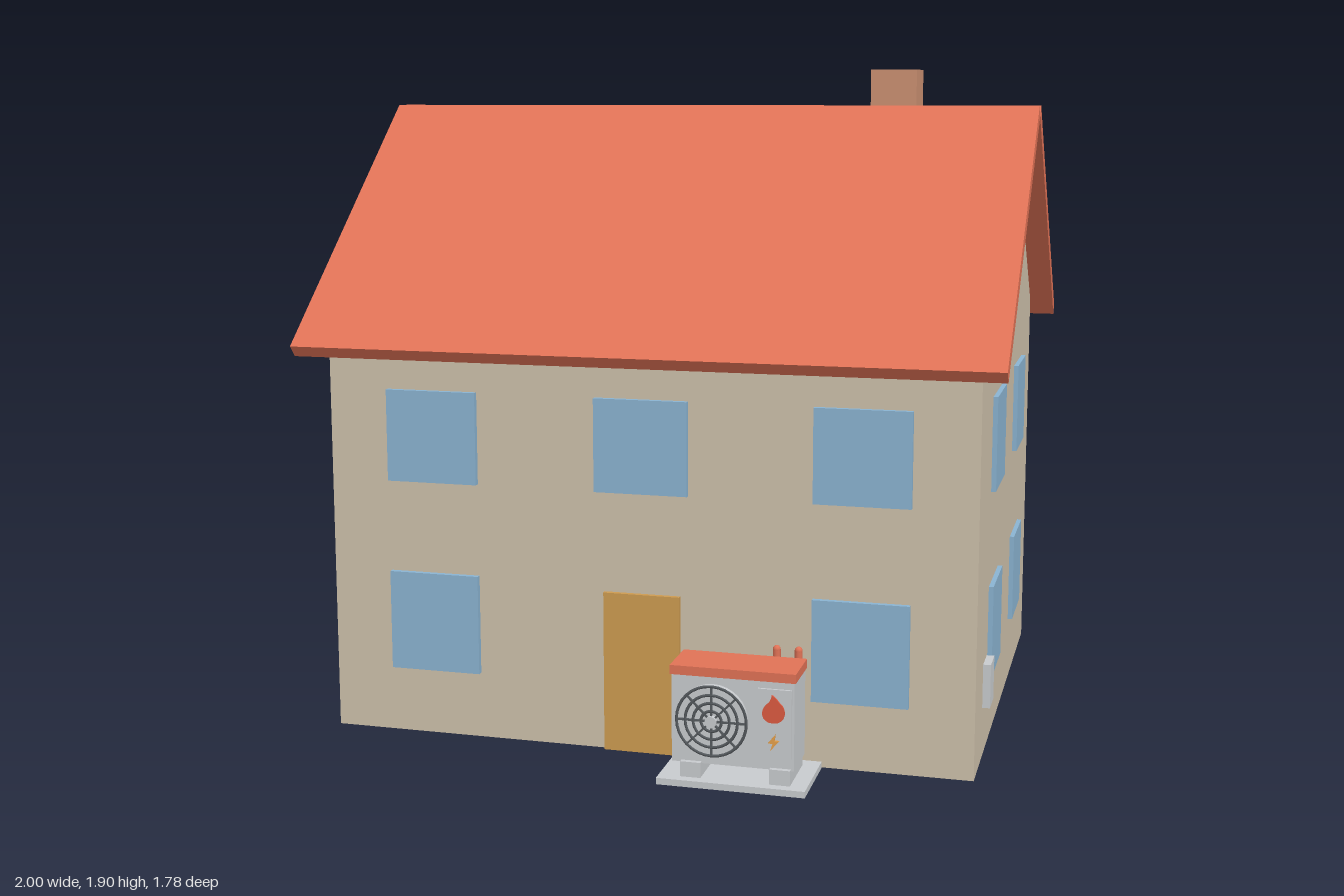
import * as THREE from 'three';

export function createModel() {
  const house = new THREE.Group();
  house.name = 'house';

  const mat = (name, color, side = THREE.FrontSide) => {
    const m = new THREE.MeshStandardMaterial({ color, side });
    m.name = name;
    return m;
  };
  const wall = mat('wall beige', 0xcdc0aa);
  const tile = mat('roof terracotta', 0xe07256);
  const brick = mat('chimney brick', 0xcb9072);
  const glass = mat('window blue', 0x8ab3d1);
  const wood = mat('door ochre', 0xcd9b50);
  const metal = mat('unit grey', 0xc8cbce);
  const dark = mat('grille grey', 0x555a5e);
  const flameRed = mat('flame red', 0xdb5a40);
  const boltOrange = mat('bolt orange', 0xe6a04a);

  const add = (name, geometry, material, parent = house) => {
    const m = new THREE.Mesh(geometry, material);
    m.name = name;
    parent.add(m);
    return m;
  };
  // Box given by its extents on each axis
  const box = (name, [x0, x1], [y0, y1], [z0, z1], material, parent) => {
    const m = add(name, new THREE.BoxGeometry(x1 - x0, y1 - y0, z1 - z0), material, parent);
    m.position.set((x0 + x1) / 2, (y0 + y1) / 2, (z0 + z1) / 2);
    return m;
  };
  // Side profile in (z, y), extruded along x and centred on it
  const prism = (name, points, width, material) => {
    const shape = new THREE.Shape(points.map(([z, y]) => new THREE.Vector2(-z, y)));
    const g = new THREE.ExtrudeGeometry(shape, { depth: width, bevelEnabled: false });
    g.translate(0, 0, -width / 2).rotateY(Math.PI / 2);
    return add(name, g, material);
  };

  // Gabled walls
  const ridge = -0.067;
  const half = 0.722;
  prism('walls', [
    [ridge + half, 0], [ridge + half, 1.153], [ridge, 1.765], [ridge - half, 1.153], [ridge - half, 0],
  ], 1.855, wall);

  // Two roof slabs meeting at the bottom edge of the ridge
  for (const s of [1, -1]) {
    prism(s > 0 ? 'frontRoof' : 'backRoof', [
      [ridge, 1.765], [ridge + s * 0.027, 1.797], [ridge + s * 0.821, 1.129], [ridge + s * 0.794, 1.098],
    ], 2, tile);
  }
  box('chimney', [0.464, 0.606], [1.4, 1.905], [-0.43, -0.288], brick);

  // Front windows and door
  const frontZ = [0.65, 0.671];
  for (const x of [-0.75, -0.135, 0.482]) {
    box('frontWindow', [x, x + 0.267], [0.741, 1.004], frontZ, glass);
    if (x !== -0.135) box('frontWindow', [x, x + 0.267], [0.19, 0.476], frontZ, glass);
  }
  box('door', [-0.11, 0.109], [0, 0.456], [0.65, 0.669], wood);

  // Side windows and meter box on the left wall
  for (const z of [-0.5, 0.12]) {
    for (const [y0, y1] of [[0.2, 0.465], [0.737, 1.004]]) {
      box('sideWindow', [0.92, 0.941], [y0, y1], [z, z + 0.25], glass);
    }
  }
  box('meterBox', [0.92, 0.949], [0.147, 0.271], [0.384, 0.475], metal);

  // Heat pump on its plinth
  const pump = new THREE.Group();
  pump.name = 'heatPump';
  house.add(pump);
  box('plinth', [0.105, 0.512], [0, 0.018], [0.66, 0.892], metal, pump);
  for (const x of [0.165, 0.41]) box('foot', [x, x + 0.056], [0.018, 0.06], [0.697, 0.864], metal, pump);
  box('casing', [0.138, 0.474], [0.055, 0.297], [0.709, 0.85], metal, pump);
  box('lid', [0.133, 0.478], [0.297, 0.322], [0.707, 0.853], tile, pump);

  // Round fan with grille rings and spokes
  const fan = new THREE.Group();
  fan.name = 'fan';
  fan.position.set(0.252, 0.18, 0.85);
  pump.add(fan);
  add('fanDisc', new THREE.CylinderGeometry(0.098, 0.098, 0.014, 32).rotateX(Math.PI / 2), metal, fan).position.z = 0.007;
  for (const r of [0.096, 0.072, 0.05, 0.028]) {
    add('grilleRing', new THREE.TorusGeometry(r, 0.004, 6, 32), dark, fan).position.z = 0.018;
  }
  for (let i = 0; i < 4; i++) {
    const spoke = add('spoke', new THREE.BoxGeometry(0.19, 0.005, 0.006), dark, fan);
    spoke.position.z = 0.018;
    spoke.rotation.z = i * Math.PI / 4;
  }
  add('hub', new THREE.CylinderGeometry(0.016, 0.016, 0.014, 16).rotateX(Math.PI / 2), metal, fan).position.z = 0.021;

  // Control panel with flame and bolt plates
  box('panel', [0.376, 0.468], [0.088, 0.278], [0.848, 0.857], metal, pump);
  const plate = (name, shape, x, y, material) =>
    add(name, new THREE.ExtrudeGeometry(shape, { depth: 0.006, bevelEnabled: false, curveSegments: 8 }), material, pump)
      .position.set(x, y, 0.857);
  const flame = new THREE.Shape();
  flame.moveTo(0, -0.037);
  flame.bezierCurveTo(0.04, -0.037, 0.036, 0.008, 0.018, 0.018);
  flame.quadraticCurveTo(0.01, 0.03, -0.004, 0.04);
  flame.quadraticCurveTo(-0.006, 0.022, -0.02, 0.012);
  flame.bezierCurveTo(-0.036, -0.005, -0.034, -0.037, 0, -0.037);
  plate('flame', flame, 0.419, 0.224, flameRed);
  const bolt = new THREE.Shape([
    [0.006, 0.023], [-0.015, -0.003], [-0.002, -0.003], [-0.008, -0.023], [0.016, 0.005], [0.003, 0.005],
  ].map(([x, y]) => new THREE.Vector2(x, y)));
  plate('bolt', bolt, 0.42, 0.134, boltOrange);

  // Copper pipes leaving the back of the unit and rising along the wall
  for (const x of [0.385, 0.446]) {
    const path = new THREE.CurvePath();
    const p = (y, z) => new THREE.Vector3(x, y, z);
    path.add(new THREE.LineCurve3(p(0.14, 0.715), p(0.14, 0.682)));
    path.add(new THREE.QuadraticBezierCurve3(p(0.14, 0.682), p(0.14, 0.664), p(0.158, 0.664)));
    path.add(new THREE.LineCurve3(p(0.158, 0.664), p(0.33, 0.664)));
    add('pipe', new THREE.TubeGeometry(path, 32, 0.011, 10), tile, pump);
    add('pipeEnd', new THREE.SphereGeometry(0.011, 10, 8), tile, pump).position.set(x, 0.33, 0.664);
  }

  return house;
}
